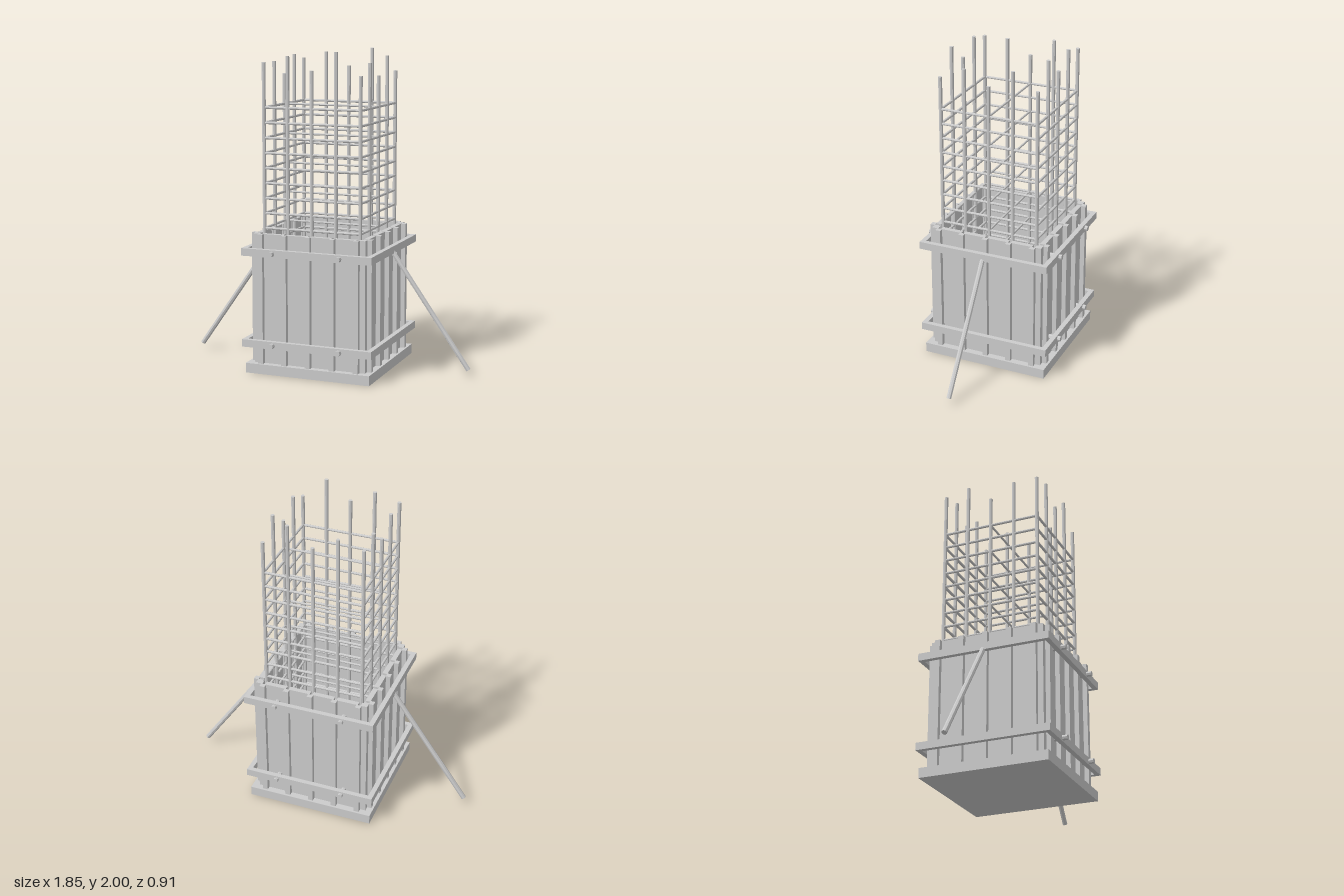
import * as THREE from 'three';

const mat = new THREE.MeshStandardMaterial({ color: 0xcccccc, flatShading: true });

function box(parent, name, size, pos) {
  const m = new THREE.Mesh(new THREE.BoxGeometry(...size), mat);
  m.position.set(...pos);
  m.name = name;
  parent.add(m);
  return m;
}

// Round bar between two points
function bar(parent, name, a, b, r, sides = 8) {
  const from = new THREE.Vector3(...a), to = new THREE.Vector3(...b);
  const dir = to.clone().sub(from);
  const m = new THREE.Mesh(new THREE.CylinderGeometry(r, r, dir.length(), sides), mat);
  m.position.copy(from).add(to).multiplyScalar(0.5);
  m.quaternion.setFromUnitVectors(new THREE.Vector3(0, 1, 0), dir.normalize());
  m.name = name;
  parent.add(m);
  return m;
}

function group(parent, name) {
  const g = new THREE.Group();
  g.name = name;
  parent.add(g);
  return g;
}

export function createModel() {
  const root = new THREE.Group();
  root.name = 'columnFormwork';
  const body = group(root, 'body');
  body.position.z = -0.006;

  const baseH = 0.062, topY = 0.88;
  const wallH = topY - baseH, wallY = (topY + baseH) / 2;
  const step = 0.1575, cage = step * 2;

  // Footing slab and low starter block inside the form
  box(body, 'baseSlab', [0.82, baseH, 0.82], [0, baseH / 2, 0]);
  box(body, 'starterBlock', [0.494, 0.05, 0.494], [0, baseH + 0.025, 0]);

  // Four form walls: boards, battens over the seams, walers
  for (let side = 0; side < 4; side++) {
    const wall = group(body, 'formWall');
    wall.rotation.y = side * Math.PI / 2;
    for (let i = 0; i < 4; i++) {
      box(wall, 'board', [step - 0.018, wallH, 0.032], [(i - 1.5) * step, wallY, 0.351]);
    }
    box(wall, 'cornerBoard', [0.043, wallH, 0.032], [0.3455, wallY, 0.351]);
    box(wall, 'cornerBoard', [0.011, wallH, 0.032], [-0.3295, wallY, 0.351]);
    for (let i = -2; i <= 2; i++) {
      box(wall, 'batten', [0.034, wallH, 0.03], [i * step, wallY, 0.381]);
    }
    for (const y of [0.193, 0.77]) {
      box(wall, 'waler', [0.823, 0.047, 0.031], [0.0155, y, 0.4115]);
    }
  }

  // Bolts through the front and back walers
  for (const y of [0.193, 0.77]) {
    for (const x of [-0.22, 0.22]) {
      bar(root, 'frontBolt', [x, y, 0.37], [x, y, 0.453], 0.017);
      bar(root, 'backBolt', [x, y, -0.37], [x, y, -0.453], 0.017);
    }
  }

  // Slanted props on both sides
  for (const s of [-1, 1]) {
    bar(body, 'prop', [s * 0.914, 0.045, 0], [s * 0.392, 0.786, 0], 0.016);
  }

  // Vertical bars: top heights per row, back to front
  const cageGroup = group(body, 'reinforcementCage');
  const tops = [
    [1.93, 1.97, 1.885, 2.0, 1.86],
    [1.96, 0, 0, 0, 1.96],
    [1.845, 0, 0, 0, 1.845],
    [1.93, 0, 0, 0, 1.93],
    [1.93, 1.97, 1.885, 2.0, 1.86],
  ];
  tops.forEach((row, j) => row.forEach((h, i) => {
    if (!h) return;
    const x = (i - 2) * step, z = (j - 2) * step;
    bar(cageGroup, 'verticalBar', [x, baseH, z], [x, h, z], 0.0125);
  }));

  // Square ties, with a cross tie on every second level
  for (let k = 0; k < 17; k++) {
    const y = 1.655 - k * 0.0933;
    for (const s of [-1, 1]) {
      bar(cageGroup, 'tie', [-cage, y, s * cage], [cage, y, s * cage], 0.0085);
      bar(cageGroup, 'tie', [s * cage, y, -cage], [s * cage, y, cage], 0.0085);
    }
    if (k % 2 === 0) bar(cageGroup, 'crossTie', [-cage, y, 0], [cage, y, 0], 0.007);
  }

  return root;
}
